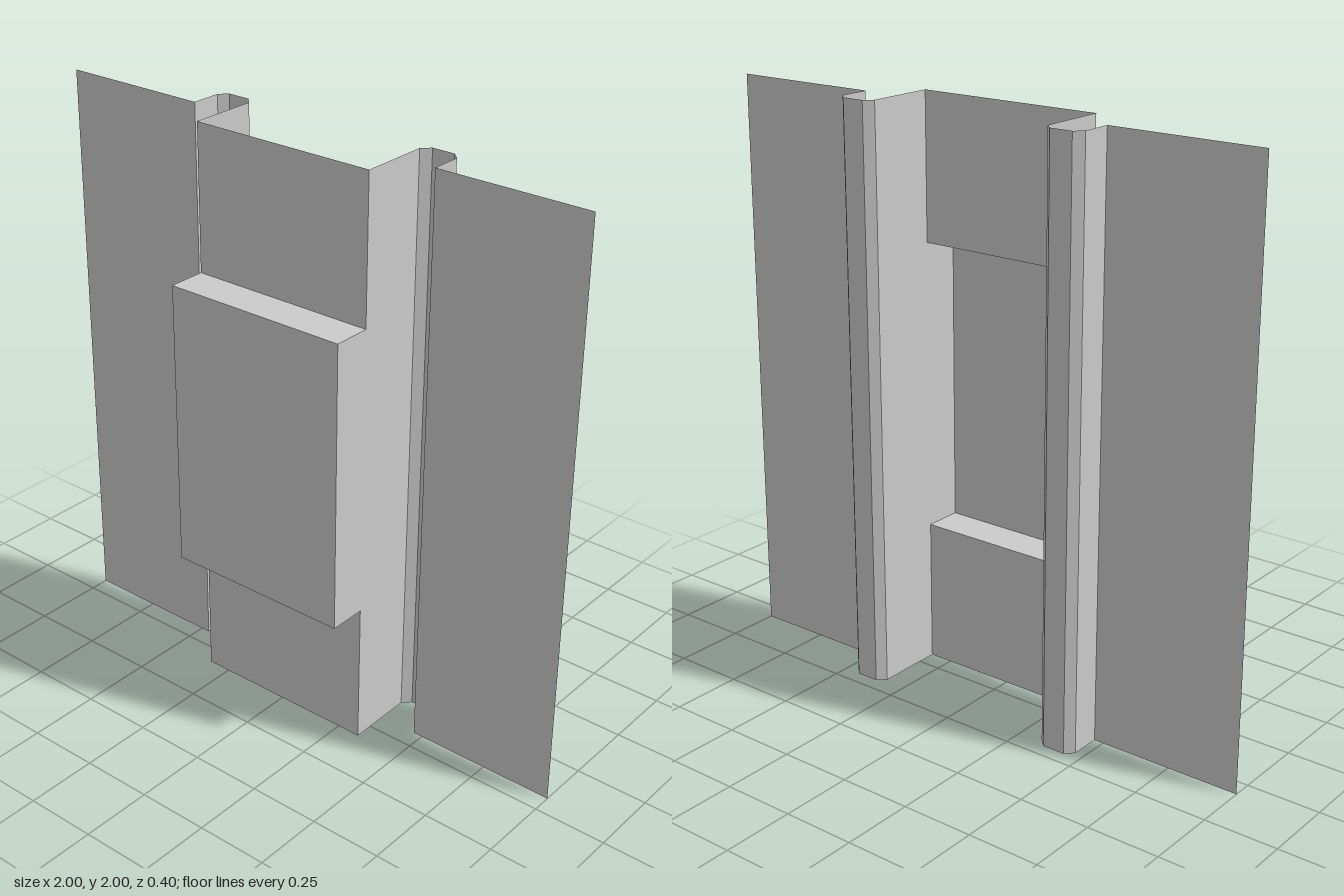
import * as THREE from 'three';

const material = new THREE.MeshStandardMaterial({
  color: 0xcccccc, flatShading: true, side: THREE.DoubleSide,
});

// Open folded sheet: a path of [x, y, z] points swept along one straight offset
function foldedSheet(name, path, offset) {
  const sweep = new THREE.Vector3(...offset);
  const pts = path.map((p) => new THREE.Vector3(...p));
  const corners = [];
  for (let i = 0; i < pts.length - 1; i++) {
    const a = pts[i], b = pts[i + 1];
    const c = b.clone().add(sweep), d = a.clone().add(sweep);
    corners.push(a, b, c, a, c, d);
  }
  const geometry = new THREE.BufferGeometry().setFromPoints(corners);
  geometry.computeVertexNormals();
  const mesh = new THREE.Mesh(geometry, material);
  mesh.name = name;
  return mesh;
}

export function createModel() {
  const group = new THREE.Group();
  group.name = 'profiledWallPanel';

  const height = 2;
  const half = 0.333;            // half width of the centre panel
  const zFace = 0.067, zBox = 0.2;

  // Flange, rear channel with chamfered corners, and wall up to the centre panel
  const side = [
    [1, -0.067], [0.467, -0.067], [0.467, -0.173], [0.44, -0.2],
    [0.36, -0.2], [half, -0.173], [half, zFace],
  ];
  const up = [0, height, 0];
  group.add(foldedSheet('rightFlangeAndChannel', side.map(([x, z]) => [-x, 0, z]), up));
  group.add(foldedSheet('leftFlangeAndChannel', side.map(([x, z]) => [x, 0, z]).reverse(), up));

  // Centre panel stepping forward into a raised box, hollow at the back
  const step = [[0, zFace], [0.5, zFace], [0.5, zBox], [1.5, zBox], [1.5, zFace], [height, zFace]];
  group.add(foldedSheet('centrePanel', step.map(([y, z]) => [half, y, z]), [-2 * half, 0, 0]));

  // Side cheeks of the raised box
  group.add(foldedSheet('leftBoxCheek', [[half, 0.5, zBox], [half, 0.5, zFace]], [0, 1, 0]));
  group.add(foldedSheet('rightBoxCheek', [[-half, 0.5, zFace], [-half, 0.5, zBox]], [0, 1, 0]));

  return group;
}
